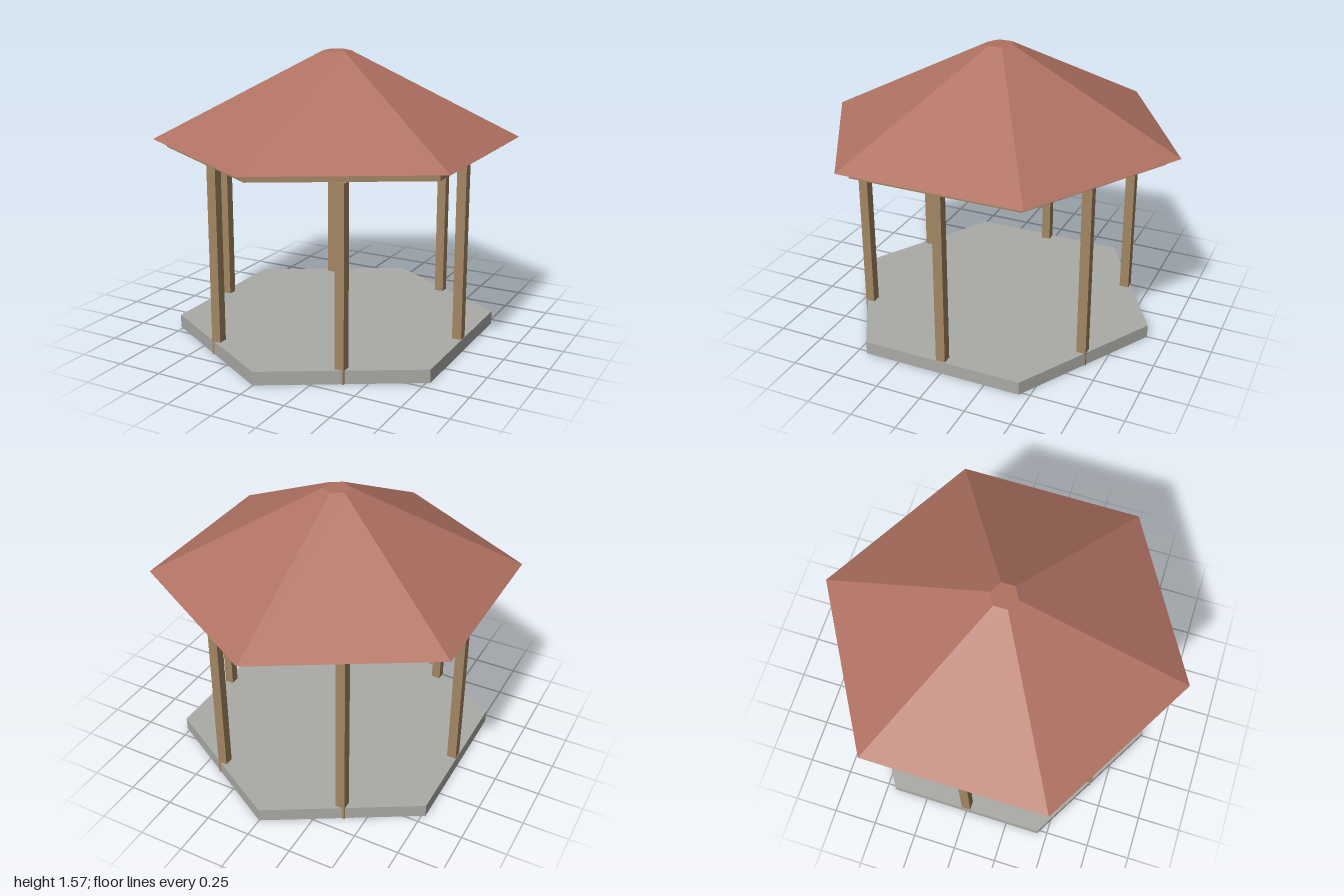
import * as THREE from 'three';

const flat = (name, color) => {
  const m = new THREE.MeshStandardMaterial({ color, flatShading: true });
  m.name = name;
  return m;
};

export function createModel() {
  const model = new THREE.Group();
  model.name = 'gazebo';
  const stone = flat('stone grey', 0xaaaaa6);
  const wood = flat('timber brown', 0xa38663);
  const tile = flat('roof red', 0xb07262);

  const add = (name, geometry, material, x, y, z) => {
    const mesh = new THREE.Mesh(geometry, material);
    mesh.name = name;
    mesh.position.set(x, y, z);
    model.add(mesh);
  };
  // Six-sided prism or frustum with corners on the z axis
  const hexagon = (name, material, rTop, rBottom, y0, y1) =>
    add(name, new THREE.CylinderGeometry(rTop, rBottom, y1 - y0, 6), material, 0, (y0 + y1) / 2, 0);

  hexagon('floor', stone, 0.889, 0.889, 0.001, 0.074);
  hexagon('eaveBeam', wood, 0.925, 0.925, 1.052, 1.096);
  hexagon('roof', tile, 0.074, 1, 1.096, 1.574);

  // Square posts at the middle of each side, running through the floor
  const postHeight = 1.037;
  const post = new THREE.BoxGeometry(0.052, postHeight, 0.052);
  for (let i = 0; i < 6; i++) {
    const a = (i * Math.PI) / 3;
    add(`post${i + 1}`, post, wood, 0.741 * Math.cos(a), postHeight / 2, 0.741 * Math.sin(a));
  }
  return model;
}
